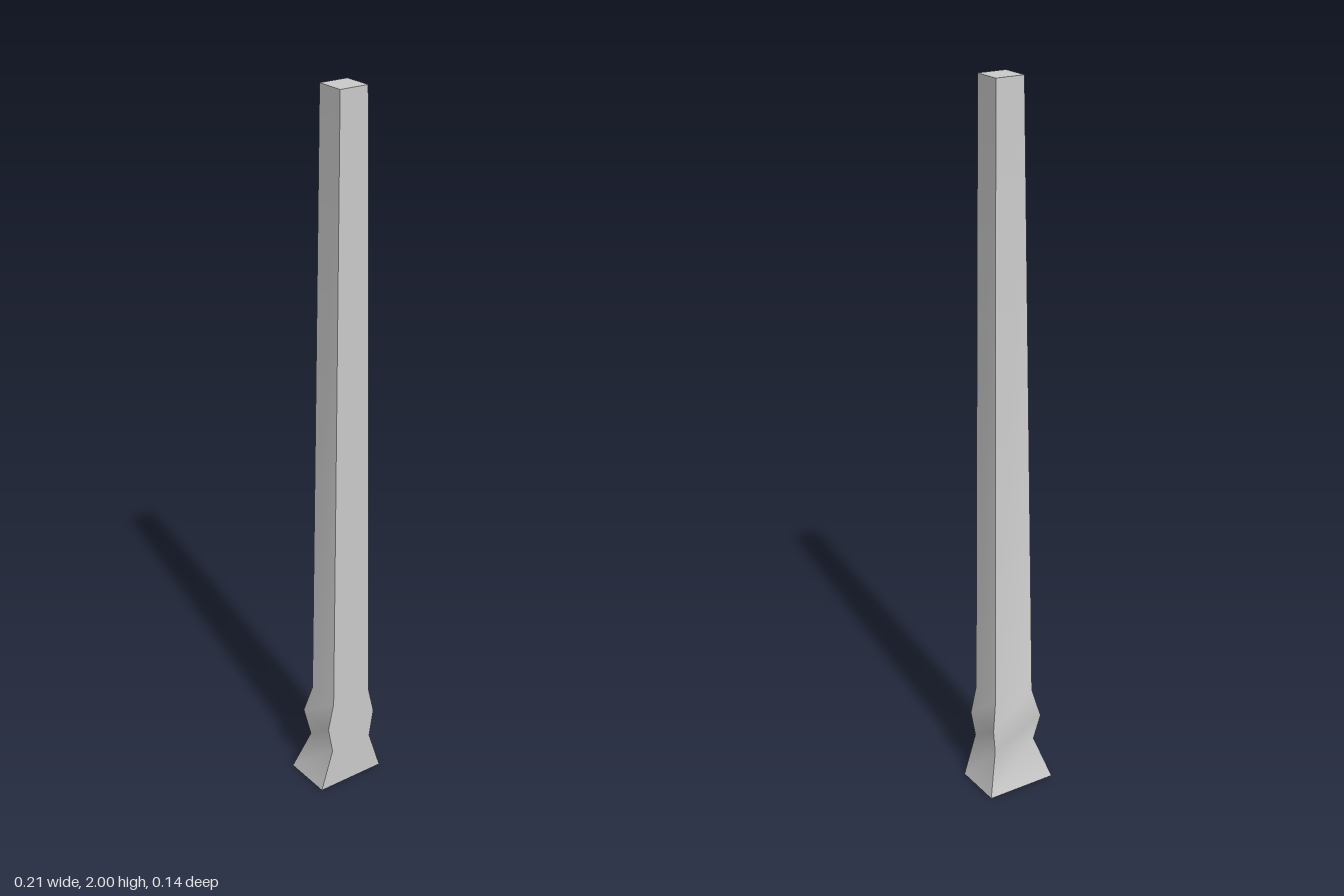
import * as THREE from 'three';
import { toCreasedNormals } from 'three/addons/utils/BufferGeometryUtils.js';

// [height, half width] of each ring, from the foot to the top
const PROFILE = [[0, 0.103], [0.12, 0.065], [0.2, 0.079], [0.28, 0.061], [2, 0.041]];
const FRONT_Z = 0.072; // flat front face
const BACK_Z = 0.031; // the back face lies one half width behind this plane

export function createModel() {
  const group = new THREE.Group();
  group.name = 'pilaster';

  // Square box with one row of vertices per ring, reshaped to the profile
  const rows = PROFILE.length - 1;
  const box = new THREE.BoxGeometry(2, rows, 2, 1, rows, 1);
  const pos = box.attributes.position;
  for (let i = 0; i < pos.count; i++) {
    const [y, half] = PROFILE[Math.round(pos.getY(i) + rows / 2)];
    const z = pos.getZ(i) > 0 ? FRONT_Z : BACK_Z - half;
    pos.setXYZ(i, Math.sign(pos.getX(i)) * half, y, z);
  }

  // Soft bends between rings, sharp corners and caps
  const shaft = new THREE.Mesh(
    toCreasedNormals(box, Math.PI / 4),
    new THREE.MeshStandardMaterial({ color: 0xcccccc })
  );
  shaft.name = 'shaft';
  group.add(shaft);
  return group;
}
